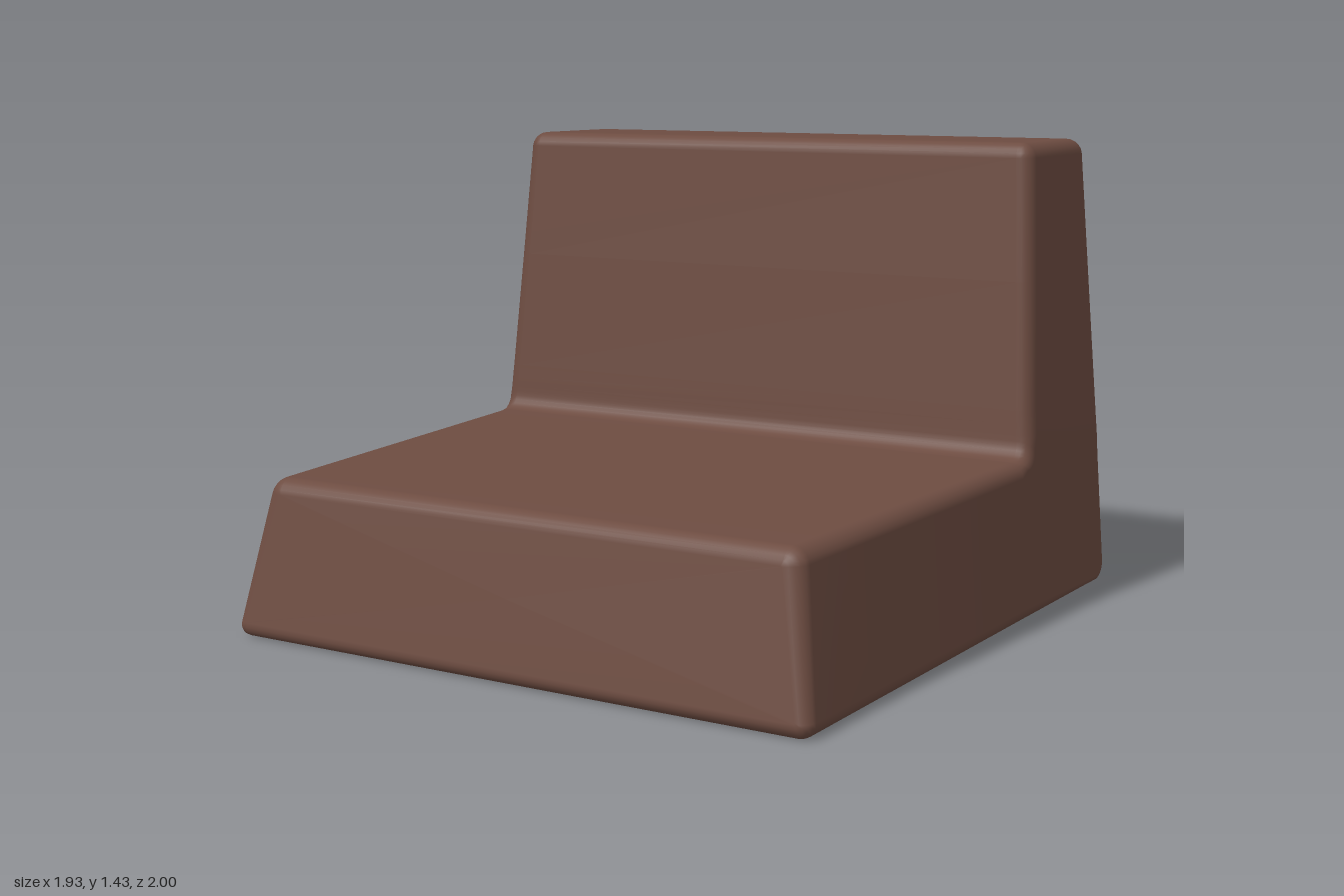
import * as THREE from 'three';

const R = 0.045;      // edge rounding
const STEPS = 5;      // segments per rounded edge

const lerp = THREE.MathUtils.lerp;

// Half width: backrest narrows upward, seat narrows toward its front top edge
function halfWidth(z, y) {
  const up = Math.max(0, y - 0.5) / 0.93;
  const fwd = Math.max(0, (z + 0.34) / 1.26);
  return 0.967 - 0.057 * up - fwd * (0.006 + 0.08 * Math.min(1, y / 0.465));
}

// Rounded four-sided section between an outer (under/back) and inner (seat/front) point
function section(outer, inner, inset) {
  const dir = inner.clone().sub(outer).normalize();
  const o = outer.clone().addScaledVector(dir, inset);
  const i = inner.clone().addScaledVector(dir, -inset);
  const wo = halfWidth(outer.x, outer.y) - inset;
  const wi = halfWidth(inner.x, inner.y) - inset;
  const corners = [[wo, o], [wi, i], [-wi, i], [-wo, o]].map(([x, p]) => new THREE.Vector3(x, p.y, p.x));
  const r = Math.max(0.004, R - inset);
  const ring = [];
  corners.forEach((c, k) => {
    const u = corners[(k + 3) % 4].clone().sub(c).normalize();
    const v = corners[(k + 1) % 4].clone().sub(c).normalize();
    for (let s = 0; s <= STEPS; s++) {
      const a = (s / STEPS) * Math.PI / 2;
      ring.push(c.clone().addScaledVector(u, r * (1 - Math.sin(a))).addScaledVector(v, r * (1 - Math.cos(a))));
    }
  });
  return ring;
}

// Rounded end: sections that grow from the end face to full size
function roundedEnd(outer, inner, outerDir, innerDir) {
  const rings = [];
  for (let s = 0; s <= STEPS; s++) {
    const a = (1 - s / STEPS) * Math.PI / 2;
    const depth = R * (1 - Math.sin(a));
    rings.push(section(
      outer.clone().addScaledVector(outerDir, depth),
      inner.clone().addScaledVector(innerDir, depth),
      R * (1 - Math.cos(a))));
  }
  return rings;
}

// Skin consecutive rings and close both ends
function loft(rings) {
  const n = rings[0].length;
  const pos = rings.flat().flatMap((p) => [p.x, p.y, p.z]);
  const index = [];
  for (let s = 0; s < rings.length - 1; s++) {
    for (let j = 0; j < n; j++) {
      const a = s * n + j, b = s * n + (j + 1) % n;
      index.push(a, a + n, b, b, a + n, b + n);
    }
  }
  const cap = (start, ring, flip) => {
    const c = new THREE.Vector3();
    ring.forEach((p) => c.addScaledVector(p, 1 / n));
    const m = pos.length / 3;
    pos.push(c.x, c.y, c.z);
    for (let j = 0; j < n; j++) {
      const a = start + j, b = start + (j + 1) % n;
      index.push(m, flip ? b : a, flip ? a : b);
    }
  };
  cap(0, rings[0], false);
  cap((rings.length - 1) * n, rings[rings.length - 1], true);
  const g = new THREE.BufferGeometry();
  g.setAttribute('position', new THREE.Float32BufferAttribute(pos, 3));
  g.setIndex(index);
  g.computeVertexNormals();
  return g;
}

export function createModel() {
  const group = new THREE.Group();
  group.name = 'armlessSeat';
  const brown = new THREE.MeshStandardMaterial({ color: 0x6d4c41 });
  brown.name = 'brown';

  // Profile points are (z, y)
  const P = (z, y) => new THREE.Vector2(z, y);
  const rings = [];

  // Front end and seat
  rings.push(...roundedEnd(P(1.006, 0), P(0.915, 0.466), P(-1, 0), P(-1, 0.02)));
  for (let s = 1; s <= 8; s++) {
    const t = s / 8;
    rings.push(section(P(lerp(0.96, -0.34, t), 0), P(lerp(0.87, -0.3, t), lerp(0.467, 0.494, t)), 0));
  }

  // Bend: rounded lower back edge outside, fillet inside
  for (let s = 0; s <= 6; s++) {
    const a = (s / 6) * Math.PI / 2;
    rings.push(section(
      P(-0.955 - 0.045 * Math.sin(a), 0.045 * (1 - Math.cos(a))),
      P(-0.305 - 0.05 * Math.sin(a), 0.495 + 0.055 * (1 - Math.cos(a))), 0));
  }

  // Backrest, with the soft kink in its rear face
  [[-0.936, 0.42, -0.357, 0.57], [-0.926, 0.49, -0.359, 0.6],
    [-0.92, 0.56, -0.363, 0.64], [-0.893, 1.0, -0.395, 1.02]]
    .forEach(([oz, oy, iz, iy]) => rings.push(section(P(oz, oy), P(iz, iy), 0)));
  rings.push(...roundedEnd(P(-0.867, 1.43), P(-0.428, 1.43), P(-0.06, -1), P(0.085, -1)).reverse());

  const seat = new THREE.Mesh(loft(rings), brown);
  seat.name = 'seatAndBackrest';
  group.add(seat);
  return group;
}
